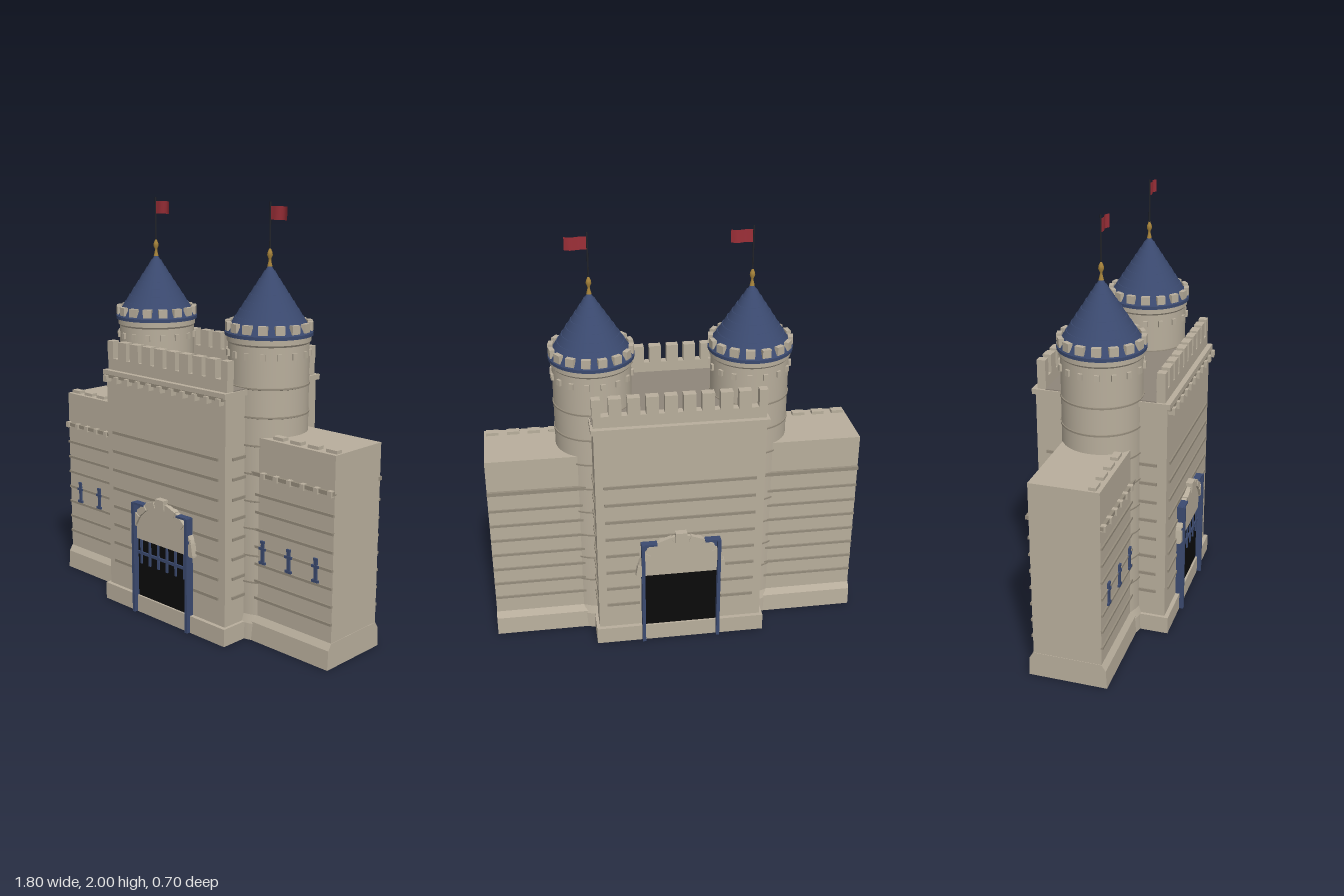
import * as THREE from 'three';

const mat = (name, color, side = THREE.FrontSide) => {
  const m = new THREE.MeshStandardMaterial({ color, side });
  m.name = name;
  return m;
};

export function createModel() {
  const stone = mat('stone', 0xb8ae9c);
  const darkStone = mat('dark stone', 0x958c7c);
  const roofStone = mat('roof paving', 0x8f867a);
  const blue = mat('slate blue', 0x3b4a70);
  const black = mat('dark opening', 0x0b0b0b);
  const gold = mat('gold', 0xa5823a);
  const iron = mat('pole iron', 0x22242a);
  const red = mat('flag red', 0x9c2f38, THREE.DoubleSide);

  const castle = new THREE.Group();
  castle.name = 'castle';

  const add = (parent, name, geo, material, x = 0, y = 0, z = 0) => {
    const m = new THREE.Mesh(geo, material);
    m.name = name;
    m.position.set(x, y, z);
    parent.add(m);
    return m;
  };
  // Box given by its limits on each axis
  const box = (parent, name, material, [x0, x1], [y0, y1], [z0, z1]) =>
    add(parent, name, new THREE.BoxGeometry(x1 - x0, y1 - y0, z1 - z0), material,
      (x0 + x1) / 2, (y0 + y1) / 2, (z0 + z1) / 2);
  const group = (parent, name) => {
    const g = new THREE.Group();
    g.name = name;
    parent.add(g);
    return g;
  };
  const points = (list) => list.map(([x, y]) => new THREE.Vector2(x, y));
  // Lathe with a crisp edge at every profile point, smooth around the axis
  const turned = (parent, name, material, profile, sides = 40) => {
    const g = group(parent, name);
    for (let i = 0; i < profile.length - 1; i++)
      add(g, name + 'Band', new THREE.LatheGeometry(points([profile[i], profile[i + 1]]), sides), material);
    return g;
  };
  const extrude = (shape, depth) =>
    new THREE.ExtrudeGeometry(shape, { depth, bevelEnabled: false, curveSegments: 24 });

  // Gatehouse block
  const gate = group(castle, 'gatehouse');
  box(gate, 'gatehouseWalls', stone, [-0.4, 0.4], [0, 1.16], [-0.31, 0.31]);
  box(gate, 'gatehousePlinth', stone, [-0.415, 0.415], [0, 0.085], [-0.33, 0.33]);
  box(gate, 'gatehouseCornice', stone, [-0.412, 0.412], [1.16, 1.185], [-0.325, 0.325]);
  box(gate, 'gatehouseRoof', roofStone, [-0.405, 0.405], [1.18, 1.19], [-0.26, 0.26]);
  for (const s of [1, -1]) {
    const limits = (a, b) => (s > 0 ? [a, b] : [-b, -a]);
    box(gate, 'parapet', stone, [-0.4, 0.4], [1.18, 1.24], limits(0.26, 0.3));
    for (let i = 0; i < 10; i++) {
      const x = -0.3825 + i * 0.085;
      const w = i % 9 === 0 ? 0.02 : 0.029;
      box(gate, 'merlon', stone, [x - w, x + w], [1.24, 1.325], limits(0.26, 0.3));
    }
    // Stone courses across the face and round the corners
    for (let i = 0; i < 8; i++) {
      const y = 0.215 + i * 0.0945;
      const spans = y < 0.58 ? [[-0.36, -0.2], [0.2, 0.36]] : [[-0.36, 0.36]];
      for (const span of spans)
        box(gate, 'course', darkStone, span, [y - 0.007, y + 0.007], limits(0.308, 0.317));
      for (const e of [1, -1])
        box(gate, 'sideCourse', darkStone, e > 0 ? [0.398, 0.407] : [-0.407, -0.398],
          [y - 0.007, y + 0.007], limits(0.18, 0.265));
    }
  }
  // Corbels below the front cornice
  for (let i = 0; i < 11; i++) {
    const x = -0.38 + i * 0.076;
    box(gate, 'corbel', stone, [x - 0.012, x + 0.012], [1.13, 1.162], [0.3, 0.342]);
  }
  box(gate, 'corbelLedge', darkStone, [-0.4, 0.4], [1.15, 1.165], [0.3, 0.328]);

  // Gate doorway, the same on front and back except the portcullis
  const addDoor = (name) => {
    const door = group(castle, name);
    box(door, 'opening', black, [-0.182, 0.182], [0.085, 0.385], [0.314, 0.32]);
    const fan = new THREE.Shape();
    fan.absarc(0, 0, 0.188, 0, Math.PI);
    fan.closePath();
    add(door, 'archPanel', extrude(fan, 0.022), stone, 0, 0.38, 0.306);
    const ring = new THREE.Shape();
    ring.absarc(0, 0, 0.217, 0, Math.PI);
    ring.absarc(0, 0, 0.187, Math.PI, 0, true);
    ring.closePath();
    add(door, 'archRing', extrude(ring, 0.03), stone, 0, 0.38, 0.305);
    // Raised arch stones
    for (let i = 0; i < 9; i++) {
      const a = (i + 0.5) * Math.PI / 9;
      const v = add(door, 'archStone', new THREE.BoxGeometry(0.033, 0.058, 0.036), stone,
        0.202 * Math.cos(a), 0.38 + 0.202 * Math.sin(a), 0.322);
      v.rotation.z = a;
    }
    box(door, 'keystone', stone, [-0.028, 0.028], [0.565, 0.615], [0.305, 0.343]);
    // Blue frame: posts, lintel and corner spandrels
    const spandrel = new THREE.Shape(points([[-0.185, 0.38], [0.185, 0.38], [0.185, 0.562], [-0.185, 0.562]]));
    add(door, 'spandrel', extrude(spandrel, 0.008), blue, 0, 0, 0.309);
    for (const s of [-1, 1])
      box(door, 'post', blue, [s * 0.184 - 0.008, s * 0.184 + 0.008], [0.002, 0.565], [0.31, 0.35]);
    for (const s of [-1, 1])
      box(door, 'lintel', blue, s > 0 ? [0.115, 0.185] : [-0.185, -0.115], [0.556, 0.566], [0.31, 0.345]);
    return door;
  };
  const frontDoor = addDoor('frontDoor');
  addDoor('backDoor').rotation.y = Math.PI;
  box(frontDoor, 'portcullisBar', blue, [-0.18, 0.18], [0.303, 0.317], [0.32, 0.328]);
  for (let i = 0; i < 6; i++) {
    const x = -0.15 + i * 0.06;
    box(frontDoor, 'portcullisSpike', blue, [x - 0.006, x + 0.006], [0.255, 0.38], [0.319, 0.327]);
  }

  // Side wings
  for (const s of [1, -1]) {
    const wing = group(castle, s > 0 ? 'leftWing' : 'rightWing');
    const span = (a, b) => (s > 0 ? [a, b] : [-b, -a]);
    box(wing, 'wingWalls', stone, span(0.38, 0.9), [0, 0.97], [-0.16, 0.16]);
    const foot = new THREE.Shape(points(
      [[-0.185, 0], [0.185, 0], [0.18, 0.09], [0.16, 0.12], [-0.16, 0.12], [-0.18, 0.09]]));
    const plinth = add(wing, 'wingPlinth', extrude(foot, 0.482), stone, s > 0 ? 0.42 : -0.902, 0, 0);
    plinth.rotation.y = Math.PI / 2;
    for (const z of [0.162, -0.162]) {
      for (let i = 0; i < 7; i++) {
        const y = 0.207 + i * 0.083;
        box(wing, 'course', darkStone, span(0.42, 0.9), [y - 0.006, y + 0.006], [z - 0.006, z + 0.006]);
      }
      box(wing, 'stringCourse', darkStone, span(0.41, 0.9), [0.794, 0.812], [z - 0.013, z + 0.013]);
    }
    for (let i = 0; i < 6; i++) {
      const x = 0.505 + i * 0.0765;
      box(wing, 'corbel', stone, span(x - 0.011, x + 0.011), [0.788, 0.816], [0.155, 0.184]);
    }
    for (let i = 0; i < 4; i++) {
      const x = 0.56 + i * 0.1;
      box(wing, 'lowMerlon', stone, span(x - 0.03, x + 0.03), [0.965, 0.985], [0.105, 0.14]);
    }
    // Arrow slits
    for (const x of [0.5, 0.655, 0.81]) {
      box(wing, 'slit', blue, span(x - 0.008, x + 0.008), [0.385, 0.49], [0.162, 0.171]);
      for (const [y, w] of [[0.388, 0.018], [0.456, 0.021], [0.488, 0.011]])
        box(wing, 'slitBar', blue, span(x - w, x + w), [y - 0.006, y + 0.006], [0.164, 0.173]);
    }
  }

  // Round towers
  for (const s of [1, -1]) {
    const tower = group(castle, s > 0 ? 'leftTower' : 'rightTower');
    tower.position.x = s * 0.375;
    turned(tower, 'towerWall', stone, [[0.2, 0], [0.198, 0.08], [0.185, 0.12], [0.185, 1.415]]);
    for (let y = 0.28; y < 1.25; y += 0.13)
      turned(tower, 'towerCourse', darkStone,
        [[0.184, y - 0.006], [0.189, y - 0.004], [0.189, y + 0.004], [0.184, y + 0.006]]);
    turned(tower, 'towerRing', stone, [[0.184, 1.375], [0.192, 1.385], [0.192, 1.42]]);

    // Stepped slate cone
    const slate = [[0, 1.41], [0.201, 1.41], [0.201, 1.425]];
    const rows = 9;
    for (let i = 0; i < rows; i++) {
      const r0 = 0.197 * (1 - i / rows), r1 = 0.197 * (1 - (i + 1) / rows);
      slate.push([r0, 1.425 + i * 0.305 / rows], [r1 + (i < rows - 1 ? 0.003 : 0), 1.425 + (i + 1) * 0.305 / rows]);
    }
    turned(tower, 'coneRoof', blue, slate);

    for (let i = 0; i < 16; i++) {
      const spoke = group(tower, 'crownSpoke');
      spoke.rotation.y = (i + 0.5) * Math.PI / 8;
      box(spoke, 'crownMerlon', stone, [-0.021, 0.021], [1.432, 1.472], [0.176, 0.199]);
      box(spoke, 'crownBracket', stone, [-0.011, 0.011], [1.318, 1.347], [0.18, 0.196]);
    }

    // Finial, pole and waving flag
    add(tower, 'finial', new THREE.LatheGeometry(points(
      [[0.012, 1.715], [0.006, 1.74], [0.006, 1.75], [0.013, 1.765], [0.011, 1.778], [0.004, 1.795], [0, 1.8]]), 16), gold);
    add(tower, 'pole', new THREE.CylinderGeometry(0.004, 0.004, 0.22, 8), iron, 0, 1.89, 0);
    const cloth = new THREE.PlaneGeometry(0.1, 0.06, 12, 1);
    const p = cloth.attributes.position;
    for (let i = 0; i < p.count; i++) {
      const t = p.getX(i) / 0.1 + 0.5;
      p.setZ(i, 0.009 * t * Math.sin(t * 7));
    }
    cloth.computeVertexNormals();
    add(tower, 'flag', cloth, red, 0.053, 1.952, 0);
  }
  return castle;
}
